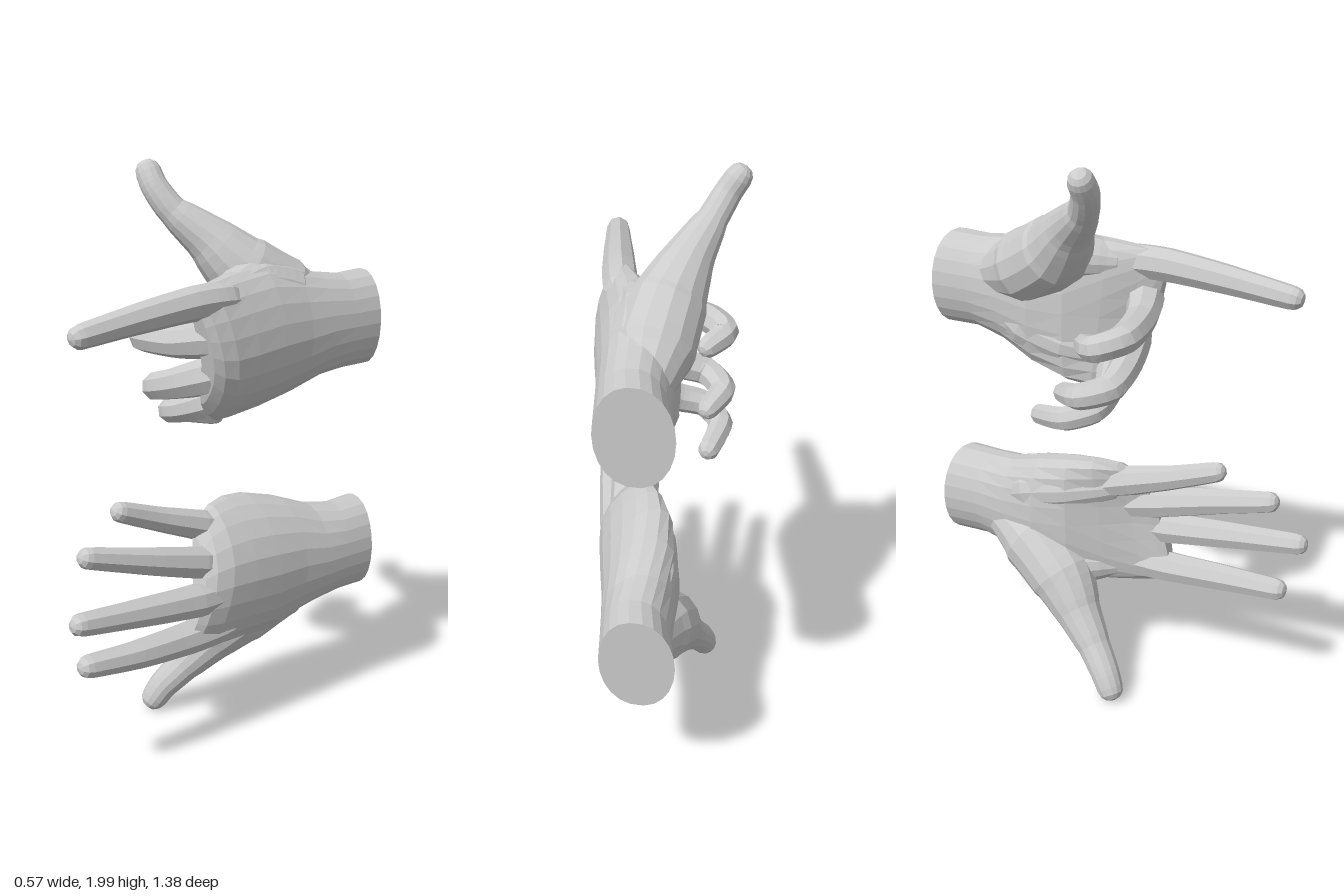
import * as THREE from 'three';

const material = new THREE.MeshStandardMaterial({ color: 0xcccccc, flatShading: true });

// Skin closed rings (counter-clockwise about the direction of travel), closing both ends.
function loft(rings, startPole, endPole, mirrored) {
  const n = rings[0].length, m = rings.length, index = [];
  const points = rings.flat().concat([startPole, endPole]);
  const tri = (a, b, c) => index.push(...(mirrored ? [a, c, b] : [a, b, c]));
  for (let j = 0; j < n; j++) {
    const k = (j + 1) % n;
    tri(m * n, k, j);
    for (let i = 0; i < m - 1; i++) {
      tri(i * n + j, i * n + k, (i + 1) * n + j);
      tri(i * n + k, (i + 1) * n + k, (i + 1) * n + j);
    }
    tri(m * n + 1, (m - 1) * n + j, (m - 1) * n + k);
  }
  const geometry = new THREE.BufferGeometry().setFromPoints(points);
  geometry.setIndex(index);
  if (mirrored) geometry.scale(1, -1, 1);
  geometry.computeVertexNormals();
  return geometry;
}

// Tapered limb with a rounded tip; each control point is [x, u, z, radius].
function digit(controls, sides, mirrored) {
  const path = controls.map(c => new THREE.Vector3(c[0], c[1], c[2]));
  const curve = new THREE.CatmullRomCurve3(path, false, 'catmullrom', 0.35);
  const spans = controls.length - 1, steps = spans * 4, rings = [];
  const normal = new THREE.Vector3(0.3, 1, 0.1);
  const ring = (centre, tangent, r) => {
    normal.addScaledVector(tangent, -normal.dot(tangent)).normalize();
    const side = tangent.clone().cross(normal);
    rings.push(Array.from({ length: sides }, (_, j) => {
      const a = (j + 0.5) / sides * Math.PI * 2;
      return centre.clone().addScaledVector(normal, r * Math.cos(a)).addScaledVector(side, r * Math.sin(a));
    }));
  };
  for (let i = 0; i <= steps; i++) {
    const t = i / steps, s = Math.min(Math.floor(t * spans), spans - 1);
    const r = THREE.MathUtils.lerp(controls[s][3], controls[s + 1][3], t * spans - s);
    ring(curve.getPoint(t), curve.getTangent(t), r);
  }
  const tip = curve.getPoint(1), dir = curve.getTangent(1), r = controls[spans][3];
  for (const [ahead, scale] of [[0.5, 0.87], [0.85, 0.55]])
    ring(tip.clone().addScaledVector(dir, r * ahead), dir, r * scale);
  return loft(rings, curve.getPoint(0), tip.clone().addScaledVector(dir, r), mirrored);
}

// Palm and wrist sections:
// z, centre u, half width, centre x, back thickness, inner thickness, arch, slant by x, slant by u
const palmSections = [
  [-0.65, 0, 0.17, 0.165, 0.12, 0.12, 0, 0.33, 0],
  [-0.53, 0, 0.168, 0.155, 0.115, 0.115, 0, 0.25, 0],
  [-0.42, 0, 0.186, 0.14, 0.118, 0.128, 0.02, 0.1, 0],
  [-0.3, -0.01, 0.225, 0.13, 0.115, 0.152, 0.05, 0, 0],
  [-0.17, -0.015, 0.255, 0.13, 0.108, 0.145, 0.08, 0, 0],
  [-0.05, -0.025, 0.255, 0.14, 0.09, 0.112, 0.095, 0, 0.1],
  [0.06, -0.03, 0.245, 0.152, 0.068, 0.075, 0.095, 0, 0.2],
  [0.125, -0.025, 0.222, 0.15, 0.05, 0.05, 0.085, 0, 0.25],
  [0.155, -0.015, 0.185, 0.145, 0.03, 0.03, 0.07, 0, 0.25],
];

function palm(mirrored, shorten) {
  const sides = 22;
  const rings = palmSections.map(([z, uc, hu, xc, back, inner, arch, slantX, slantU]) =>
    Array.from({ length: sides }, (_, j) => {
      const a = j / sides * Math.PI * 2, s = Math.sin(a), c = Math.cos(a);
      const u = uc + hu * s;
      const bend = arch * s * s * (s > 0 ? 0.35 : 1);
      const x = xc + (c > 0 ? back : -inner) * Math.abs(c) ** 0.9 - bend;
      return new THREE.Vector3(x, u, (z > 0 ? z * shorten : z) + (x - xc) * slantX + u * slantU);
    }));
  const middle = r => r.reduce((sum, p) => sum.add(p), new THREE.Vector3()).divideScalar(r.length);
  return loft(rings, middle(rings[0]), middle(rings[rings.length - 1]), mirrored);
}

// Muscle pads shared by both hands
const pads = {
  thumbWeb: [
    [0.12, 0.02, -0.44, 0.07], [0.09, 0.12, -0.3, 0.115], [0.075, 0.165, -0.17, 0.096], [0.1, 0.16, -0.04, 0.062],
  ],
  heelOfPalm: [
    [0.11, -0.03, -0.46, 0.06], [0.075, -0.1, -0.33, 0.088], [0.064, -0.14, -0.18, 0.088], [0.08, -0.165, -0.04, 0.06],
  ],
};

// A hand reaching along +z with its palm towards -x; u runs towards the thumb.
function hand(name, y, mirrored, shorten, digits) {
  const group = new THREE.Group();
  group.name = name;
  group.position.y = y;
  const add = (part, geometry) => {
    const mesh = new THREE.Mesh(geometry, material);
    mesh.name = part;
    group.add(mesh);
  };
  add('palmAndWrist', palm(mirrored, shorten));
  for (const [part, controls] of Object.entries(pads)) add(part, digit(controls, 14, mirrored));
  for (const [part, controls] of Object.entries(digits))
    add(part, digit(controls, part === 'thumb' ? 14 : 8, mirrored));
  return group;
}

export function createModel() {
  const model = new THREE.Group();
  model.name = 'pairOfHands';

  // Upper hand: thumb up, index finger pointing, the rest curled
  model.add(hand('pointingHand', 1.43, false, 0.75, {
    thumb: [
      [0.13, 0.04, -0.5, 0.075], [0.07, 0.11, -0.33, 0.132], [0.006, 0.205, -0.195, 0.125],
      [-0.068, 0.31, -0.112, 0.084], [-0.155, 0.405, -0.028, 0.051], [-0.208, 0.48, 0.002, 0.046],
      [-0.24, 0.528, 0.002, 0.044],
    ],
    indexFinger: [
      [0.11, 0.12, -0.14, 0.04], [0.13, 0.155, 0.02, 0.06], [0.123, 0.16, 0.16, 0.058],
      [0.105, 0.145, 0.37, 0.05], [0.085, 0.122, 0.592, 0.04],
    ],
    middleFinger: [
      [0.15, 0.03, -0.04, 0.055], [0.13, 0.035, 0.07, 0.068], [0, 0.008, 0.108, 0.055],
      [-0.155, -0.003, 0.108, 0.051], [-0.215, -0.025, 0.03, 0.047], [-0.15, -0.045, -0.03, 0.038],
    ],
    ringFinger: [
      [0.13, -0.08, -0.04, 0.055], [0.1, -0.1, 0.04, 0.068], [-0.04, -0.15, 0.07, 0.055],
      [-0.155, -0.185, 0.06, 0.049], [-0.2, -0.21, -0.03, 0.045], [-0.14, -0.235, -0.11, 0.036],
    ],
    littleFinger: [
      [0.09, -0.17, -0.07, 0.05], [0.05, -0.21, -0.01, 0.058], [-0.06, -0.255, 0.01, 0.048],
      [-0.145, -0.28, 0, 0.044], [-0.185, -0.308, -0.09, 0.042], [-0.13, -0.336, -0.2, 0.036],
    ],
  }));

  // Lower hand: open with fingers spread, thumb down
  model.add(hand('openHand', 0.58, true, 1, {
    thumb: [
      [0.13, 0.04, -0.5, 0.075], [0.07, 0.11, -0.33, 0.132], [0.006, 0.212, -0.19, 0.122],
      [-0.05, 0.31, -0.105, 0.085], [-0.105, 0.405, -0.02, 0.06], [-0.148, 0.475, 0.038, 0.053],
      [-0.168, 0.523, 0.066, 0.048],
    ],
    indexFinger: [
      [0.11, 0.11, -0.14, 0.04], [0.13, 0.145, 0.02, 0.06], [0.123, 0.15, 0.18, 0.057],
      [0.11, 0.14, 0.4, 0.049], [0.085, 0.125, 0.592, 0.04],
    ],
    middleFinger: [
      [0.155, 0.02, -0.06, 0.05], [0.152, 0.005, 0.17, 0.059], [0.138, -0.025, 0.42, 0.049], [0.12, -0.053, 0.65, 0.039],
    ],
    ringFinger: [
      [0.12, -0.07, -0.06, 0.05], [0.115, -0.11, 0.12, 0.059], [0.09, -0.175, 0.35, 0.048], [0.055, -0.235, 0.558, 0.038],
    ],
    littleFinger: [
      [0.08, -0.16, -0.08, 0.05], [0.06, -0.215, 0.06, 0.055], [0.035, -0.272, 0.22, 0.044], [0.015, -0.335, 0.38, 0.036],
    ],
  }));

  return model;
}
